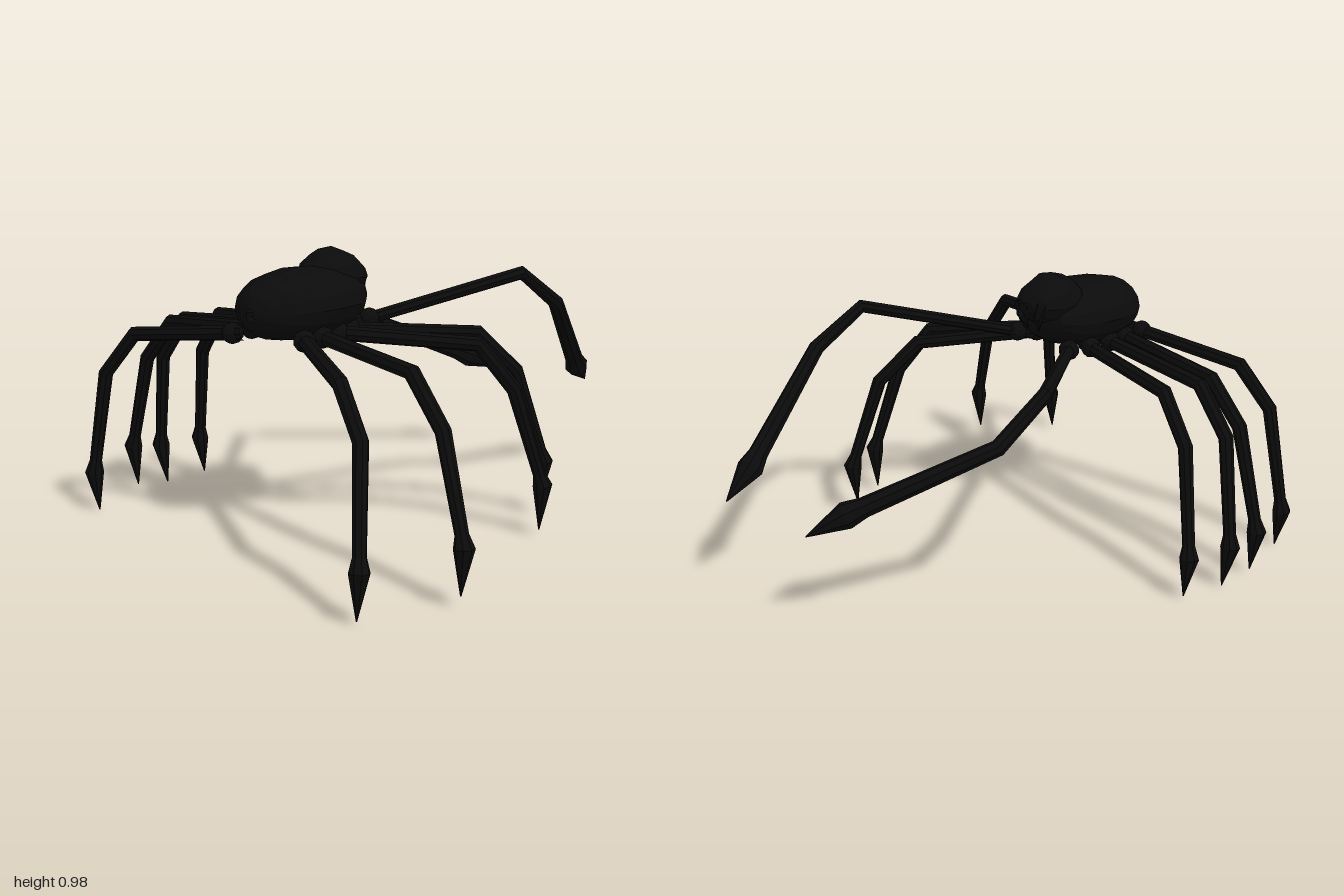
import * as THREE from 'three';

const V = (x, y, z) => new THREE.Vector3(x, y, z);
const black = new THREE.MeshStandardMaterial({ color: 0x0b0b0b, flatShading: true });

// Skin over elliptical rings; each ring is { c: centre, u, v: half-axes } with u x v pointing along the part
function loft(name, rings, sides) {
  const pos = [], index = [];
  for (const { c, u, v } of rings) {
    for (let j = 0; j < sides; j++) {
      const a = (j / sides) * Math.PI * 2;
      const p = c.clone().addScaledVector(u, Math.cos(a)).addScaledVector(v, Math.sin(a));
      pos.push(p.x, p.y, p.z);
    }
  }
  for (let i = 0; i < rings.length - 1; i++) {
    for (let j = 0; j < sides; j++) {
      const k = (j + 1) % sides;
      const a = i * sides + j, b = i * sides + k, c = a + sides, d = b + sides;
      index.push(a, b, c, b, d, c);
    }
  }
  const g = new THREE.BufferGeometry();
  g.setAttribute('position', new THREE.Float32BufferAttribute(pos, 3));
  g.setIndex(index);
  g.computeVertexNormals();
  const mesh = new THREE.Mesh(g, black);
  mesh.name = name;
  return mesh;
}

// Round tapering limb along a bent path
function limb(name, pts, radii, sides = 8) {
  const span = pts[pts.length - 1].clone().sub(pts[0]);
  const side = V(0, 1, 0).cross(span.setY(0)).normalize();
  const rings = pts.map((c, i) => {
    const before = i > 0 ? c.clone().sub(pts[i - 1]).normalize() : V(0, 0, 0);
    const after = i < pts.length - 1 ? pts[i + 1].clone().sub(c).normalize() : V(0, 0, 0);
    const t = before.add(after).normalize();
    const v = t.clone().cross(side).normalize();
    const u = v.clone().cross(t);
    return { c, u: u.multiplyScalar(radii[i]), v: v.multiplyScalar(radii[i]) };
  });
  return loft(name, rings, sides);
}

// Body part along x from stations [x, bottom, top, half width]
const trunk = (name, stations, sides) => loft(name, stations.map(([x, lo, hi, w]) => ({
  c: V(x, (lo + hi) / 2, 0), u: V(0, (hi - lo) / 2, 0), v: V(0, 0, w),
})), sides);

// Each leg: hip, knee, shin joint, foot bulb, claw tip
const LEGS = [
  // right-hand side, rear to front
  [[-0.57, 0.73, -0.1], [-0.6, 0.68, -0.58], [-0.63, 0.53, -0.7], [-0.63, 0.15, -0.78], [-0.63, 0.01, -0.76]],
  [[-0.48, 0.73, -0.1], [-0.38, 0.69, -0.61], [-0.38, 0.54, -0.74], [-0.36, 0.18, -0.85], [-0.36, 0.03, -0.83]],
  [[-0.39, 0.73, -0.1], [-0.3, 0.69, -0.62], [-0.285, 0.53, -0.75], [-0.23, 0.16, -0.83], [-0.22, 0.01, -0.81]],
  [[-0.29, 0.73, -0.1], [-0.15, 0.69, -0.58], [-0.12, 0.53, -0.7], [-0.06, 0.16, -0.78], [-0.05, 0.02, -0.77]],
  [[-0.22, 0.735, -0.1], [0.3, 0.765, -0.44], [0.48, 0.62, -0.4], [0.87, 0.42, -0.1], [0.98, 0.36, -0.03]],
  // left-hand side, rear to front
  [[-0.52, 0.73, 0.1], [-0.83, 0.68, 0.49], [-0.88, 0.53, 0.6], [-0.97, 0.17, 0.66], [-0.97, 0.02, 0.65]],
  [[-0.45, 0.73, 0.1], [-0.615, 0.69, 0.6], [-0.64, 0.53, 0.73], [-0.69, 0.2, 0.84], [-0.69, 0.05, 0.83]],
  [[-0.4, 0.73, 0.1], [-0.11, 0.69, 0.53], [-0.02, 0.53, 0.62], [0.05, 0.19, 0.7], [0.05, 0.03, 0.69]],
  [[-0.33, 0.73, 0.1], [0.05, 0.695, 0.43], [0.17, 0.55, 0.52], [0.26, 0.21, 0.59], [0.25, 0.06, 0.58]],
  [[-0.24, 0.735, 0.1], [0.29, 0.88, 0.465], [0.47, 0.755, 0.51], [0.87, 0.44, 0.4], [0.99, 0.36, 0.38]],
];

export function createModel() {
  const model = new THREE.Group();
  model.name = 'spider';

  model.add(trunk('abdomen', [
    [-0.657, 0.79, 0.83, 0.015], [-0.635, 0.755, 0.87, 0.065], [-0.58, 0.72, 0.91, 0.13],
    [-0.5, 0.705, 0.93, 0.175], [-0.4, 0.7, 0.94, 0.195], [-0.3, 0.705, 0.935, 0.185],
    [-0.22, 0.725, 0.92, 0.15], [-0.16, 0.76, 0.9, 0.11], [-0.13, 0.8, 0.87, 0.04], [-0.128, 0.83, 0.84, 0.002],
  ], 16));

  model.add(trunk('head', [
    [-0.345, 0.88, 0.91, 0.02], [-0.33, 0.84, 0.935, 0.07], [-0.28, 0.8, 0.975, 0.105],
    [-0.22, 0.79, 0.993, 0.115], [-0.16, 0.8, 0.97, 0.105], [-0.115, 0.835, 0.935, 0.08],
    [-0.09, 0.865, 0.905, 0.035], [-0.089, 0.88, 0.89, 0.002],
  ], 12));

  // Fangs curving down below the face
  for (const s of [-1, 1]) {
    model.add(limb('fang', [
      V(-0.16, 0.9, s * 0.05), V(-0.115, 0.885, s * 0.045), V(-0.105, 0.85, s * 0.04), V(-0.125, 0.795, s * 0.025),
    ], [0.03, 0.028, 0.018, 0.001], 6));
  }

  for (const leg of LEGS) {
    const [hip, knee, shin, foot, tip] = leg.map((p) => V(...p));
    const raised = foot.y > 0.3;
    const group = new THREE.Group();
    group.name = raised ? 'raisedFrontLeg' : 'walkingLeg';
    const socket = new THREE.Mesh(new THREE.IcosahedronGeometry(0.038, 1), black);
    socket.name = 'hipJoint';
    socket.position.copy(hip).lerp(knee, 0.1);
    group.add(socket);
    const ankle = shin.clone().lerp(foot, 0.88);
    group.add(limb('legSegments', [hip, knee, shin, ankle, foot, tip],
      raised ? [0.022, 0.025, 0.028, 0.034, 0.046, 0.002] : [0.026, 0.027, 0.026, 0.022, 0.034, 0.002]));
    model.add(group);
  }
  return model;
}
